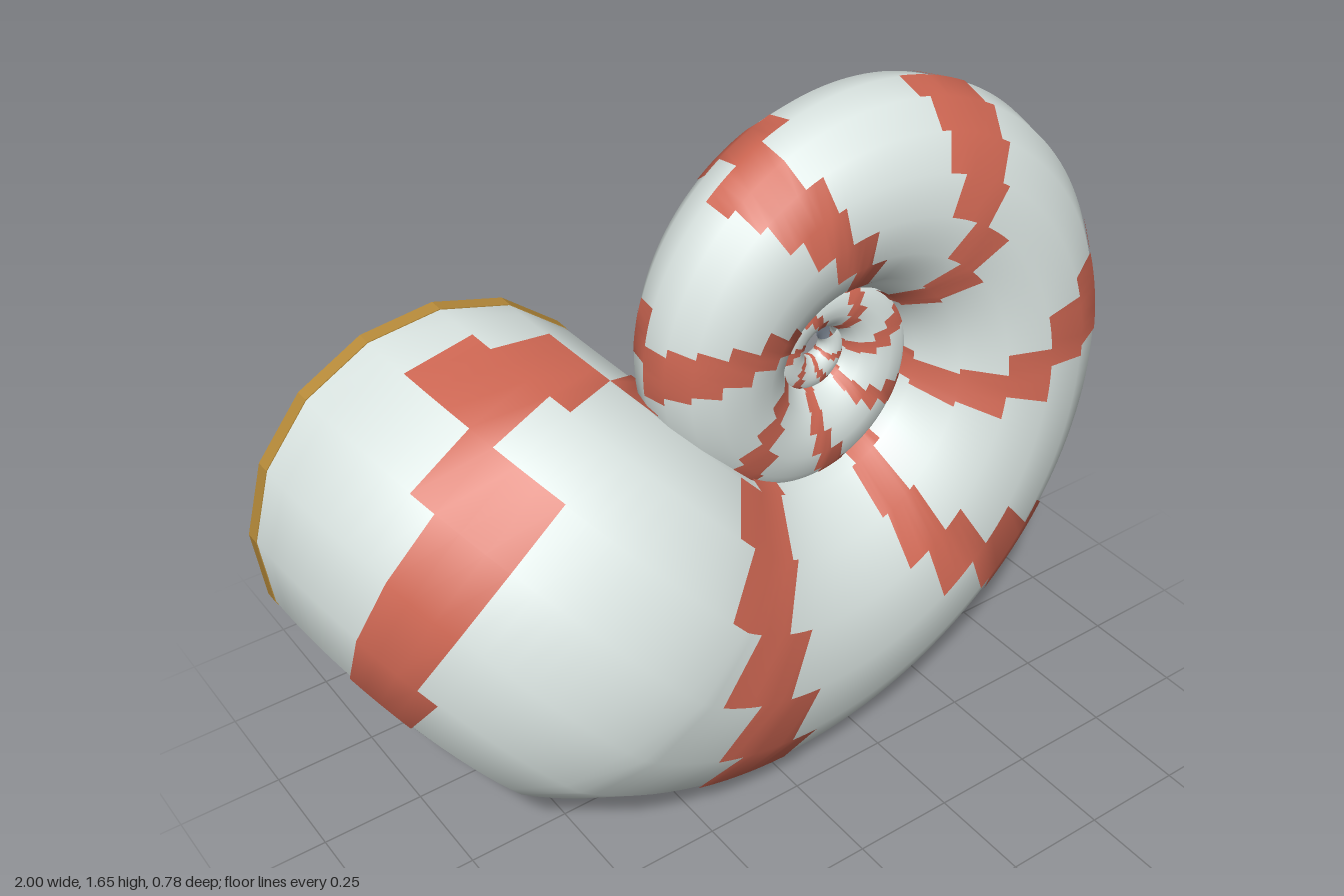
import * as THREE from 'three';

const SIDES = 16;
const CENTRE = { x: 0.21, y: 1.045 };
const START = 750;       // spiral angle (degrees) at the innermost whorl
const BEND = -140;       // where the tube starts to turn towards the back
const END = -185;        // where the mouth opens
const STEP = 2.5;
const MOUTH = new THREE.Vector3(-0.555, 0.777, -0.356);
const MOUTH_RADIUS = 0.444;

// Spiral angles of the stripes: the last four, then even spacing inwards
const STRIPES = [-108, -49, 3.5, 61];
for (let deg = 114; deg < START; deg += 53) STRIPES.push(deg);

// Degrees by which each strip around the tube shifts a stripe, outer edge to inner edge
const FRONT_SHIFT = [0, 2, 5, 9, 18, 26, 28, 25];
const BACK_SHIFT = [9, 5, 3, 8, 10, 18, 25, 28];

// Bend angle of the last stripe on each strip
const BEND_STRIPE = [50, 50, 52, 53, 56, 70, 66, 48];

// Outer radius of the growing spiral
const outerRadius = (deg) => 0.78 * Math.pow(3.1, -deg / 360);

// Progress of the final bend, 0 to 1
const bendAt = (deg) => Math.max(0, (BEND - deg) / (BEND - END));

// Centre, axes and half-sizes of the cross-section at a spiral angle
function section(deg) {
  const bend = bendAt(deg);
  const angle = Math.max(deg, BEND);
  const a = THREE.MathUtils.degToRad(angle);
  const R = outerRadius(angle);
  const radial = new THREE.Vector3(Math.cos(a), Math.sin(a), 0);
  const centre = new THREE.Vector3(CENTRE.x, CENTRE.y, 0).addScaledVector(radial, 0.62 * R);
  const phi = bend * Math.PI / 2;
  const s = Math.sin(phi), c = Math.cos(phi);
  const side = new THREE.Vector3(Math.sin(a) * s, -Math.cos(a) * s, c);
  centre.x += (MOUTH.x - centre.x) * s;
  centre.y += (MOUTH.y - centre.y) * s;
  centre.z = MOUTH.z * (1 - c);
  return {
    centre, radial, side,
    ra: THREE.MathUtils.lerp(0.375 * R, MOUTH_RADIUS, bend),
    rb: THREE.MathUtils.lerp(0.32 * R, MOUTH_RADIUS, bend * bend),
  };
}

// Jagged cross stripes along the spiral, and one stripe on the bend
function isStripe(deg, j) {
  const front = j < SIDES / 2;
  const k = front ? j : SIDES - 1 - j;
  if (deg < BEND - 5) return Math.abs(bendAt(deg) * 90 - BEND_STRIPE[k]) < 9;
  const shift = (front ? FRONT_SHIFT : BACK_SHIFT)[k];
  return STRIPES.some((centre) => Math.abs(deg + shift - centre) < 7.8);
}

// Spiral tube, keeping only the cells the filter accepts
function spiralTube(scale, keep = () => true) {
  const positions = [], index = [];
  const rings = Math.round((START - END) / STEP);
  for (let i = 0; i <= rings; i++) {
    const deg = START - i * STEP;
    const { centre, radial, side, ra, rb } = section(deg);
    for (let j = 0; j < SIDES; j++) {
      const v = j / SIDES * Math.PI * 2;
      const p = centre.clone()
        .addScaledVector(radial, Math.cos(v) * ra * scale)
        .addScaledVector(side, Math.sin(v) * rb * scale);
      positions.push(p.x, p.y, p.z);
      if (i === rings || !keep(deg - STEP / 2, j)) continue;
      const A = i * SIDES + j, B = i * SIDES + (j + 1) % SIDES;
      index.push(A, B, A + SIDES, B, B + SIDES, A + SIDES);
    }
  }
  const g = new THREE.BufferGeometry();
  g.setAttribute('position', new THREE.Float32BufferAttribute(positions, 3));
  g.setIndex(index);
  g.computeVertexNormals();
  return g;
}

export function createModel() {
  const material = (name, color, side = THREE.FrontSide) => {
    const m = new THREE.MeshStandardMaterial({ color, side });
    m.name = name;
    return m;
  };
  const shellMat = material('pale shell', 0xd9e3e0);
  const stripeMat = material('rust stripe', 0xcd6652);
  const liningMat = material('grey lining', 0x7b8592, THREE.BackSide);
  const rimMat = material('golden rim', 0xb98c3a);

  const model = new THREE.Group();
  model.name = 'spiralShell';
  const add = (name, geometry, mat) => {
    const mesh = new THREE.Mesh(geometry, mat);
    mesh.name = name;
    model.add(mesh);
    return mesh;
  };

  // Coiled outer shell, its raised stripes and its inner lining
  add('shell', spiralTube(1), shellMat);
  add('stripes', spiralTube(1.012, isStripe), stripeMat);
  add('lining', spiralTube(0.985), liningMat);

  // Flat-faced band around the mouth, its corners in line with the tube's
  const profile = [[0.412, 0], [0.446, 0], [0.446, 0.035], [0.412, 0.035], [0.412, 0]]
    .map(([r, h]) => new THREE.Vector2(r, h));
  const band = new THREE.LatheGeometry(profile, SIDES)
    .rotateX(Math.PI / 2)
    .rotateZ(THREE.MathUtils.degToRad(BEND))
    .toNonIndexed();
  band.computeVertexNormals();
  add('mouthRim', band, rimMat).position.set(MOUTH.x, MOUTH.y, -0.39);

  return model;
}
